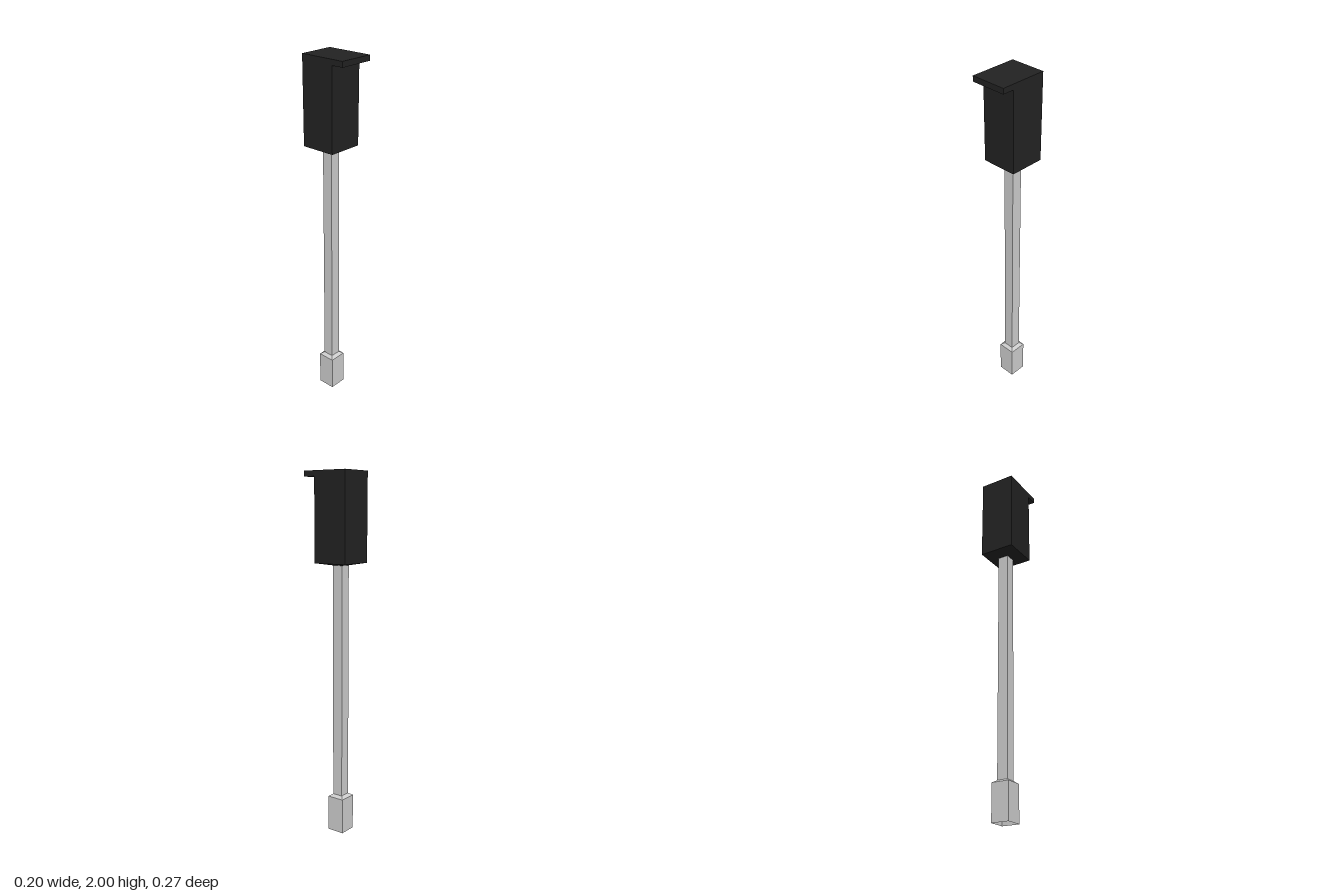
import * as THREE from 'three';

const AXIS_Z = -0.033; // the post stands behind the centre, under the housing

// Square column from [half width, height] pairs, bottom to top
function squareColumn(name, profile, material) {
  const points = profile.map(([half, y]) => new THREE.Vector2(half * Math.SQRT2, y));
  const mesh = new THREE.Mesh(new THREE.LatheGeometry(points, 4, Math.PI / 4), material);
  mesh.name = name;
  mesh.position.z = AXIS_Z;
  return mesh;
}

export function createModel() {
  const group = new THREE.Group();
  group.name = 'signalPost';

  const grey = new THREE.MeshStandardMaterial({
    color: 0xcccccc, flatShading: true, side: THREE.DoubleSide,
  });
  const black = new THREE.MeshStandardMaterial({ color: 0x222222, flatShading: true });

  // Base sleeve, open underneath, with a chamfered shoulder
  group.add(squareColumn('base', [[0.05, 0], [0.05, 0.2], [0.03, 0.213]], grey));

  // Slender square post
  group.add(squareColumn('post', [[0.03, 0.213], [0.03, 1.508]], grey));

  // Housing with a shallow tapered underside and a flat top
  group.add(squareColumn('housing', [[0, 1.508], [0.03, 1.508], [0.1, 1.52], [0.1, 2], [0, 2]], black));

  // Visor slab projecting forward, flush with the top
  const visor = new THREE.Mesh(new THREE.BoxGeometry(0.2, 0.03, 0.067), black);
  visor.name = 'visor';
  visor.position.set(0, 1.985, 0.1005);
  group.add(visor);

  return group;
}
